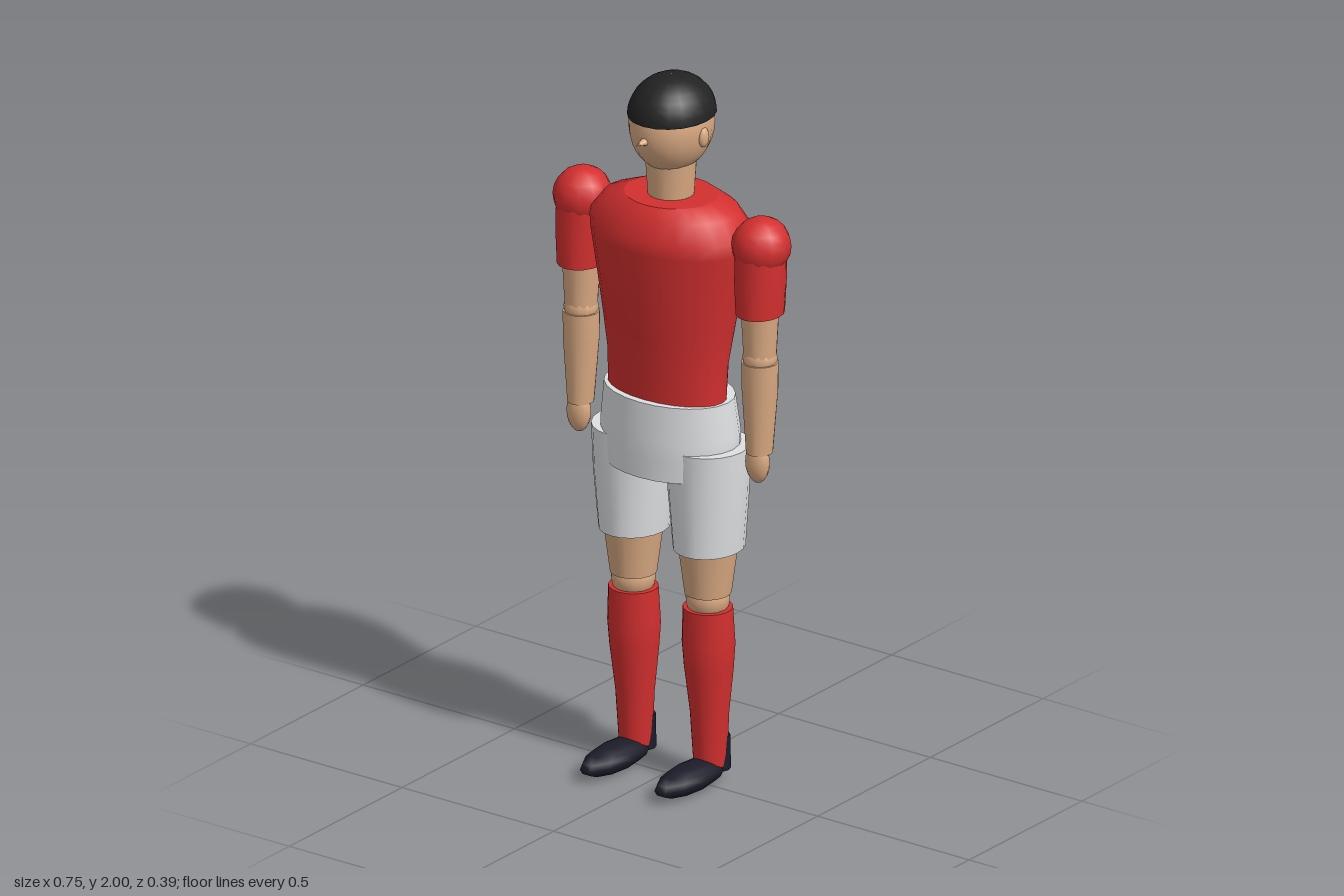
import * as THREE from 'three';

const mat = (name, color) => {
  const m = new THREE.MeshStandardMaterial({ color });
  m.name = name;
  return m;
};

// Elliptical loft; rings run from top to bottom as [y, radiusX, radiusZ, centreZ]
function loft(rings, sides) {
  const g = new THREE.CylinderGeometry(1, 1, 1, sides, rings.length - 1);
  const p = g.attributes.position;
  for (let i = 0; i < p.count; i++) {
    const [y, rx, rz, cz] = rings[Math.round((0.5 - p.getY(i)) * (rings.length - 1))];
    p.setXYZ(i, p.getX(i) * rx, y, p.getZ(i) * rz + cz);
  }
  g.computeVertexNormals();
  // Blend the normals across the seam
  const n = g.attributes.normal, a = new THREE.Vector3(), b = new THREE.Vector3();
  for (let r = 0; r < rings.length; r++) {
    const s = r * (sides + 1), e = s + sides;
    a.fromBufferAttribute(n, s).add(b.fromBufferAttribute(n, e)).normalize();
    n.setXYZ(s, a.x, a.y, a.z);
    n.setXYZ(e, a.x, a.y, a.z);
  }
  return g;
}

function ellipsoid(rx, ry, rz, sides = 16, rows = 12) {
  return new THREE.SphereGeometry(1, sides, rows).scale(rx, ry, rz);
}

export function createModel() {
  const root = new THREE.Group();
  root.name = 'footballPlayer';
  const skin = mat('skin', 0xd9a982);
  const red = mat('redKit', 0xd32f2f);
  const white = mat('whiteShorts', 0xdee0e2);
  const black = mat('blackHair', 0x222222);
  const dark = mat('darkBoots', 0x1c1c2a);

  const add = (parent, name, geo, material, x = 0, y = 0, z = 0) => {
    const m = new THREE.Mesh(geo, material);
    m.name = name;
    m.position.set(x, y, z);
    parent.add(m);
    return m;
  };

  // Head, hair, nose and neck
  add(root, 'head', ellipsoid(0.11, 0.136, 0.125, 20, 16), skin, 0, 1.864, -0.025);
  add(root, 'hair', new THREE.SphereGeometry(1, 20, 8, 0, Math.PI * 2, 0, Math.PI / 2)
    .scale(0.114, 0.11, 0.129), black, 0, 1.89, -0.026);
  add(root, 'hairUnderside', new THREE.CircleGeometry(1, 20).rotateX(Math.PI / 2)
    .scale(0.114, 1, 0.129), black, 0, 1.89, -0.026);
  add(root, 'nose', new THREE.ConeGeometry(0.015, 0.05, 8).rotateX(Math.PI / 2), skin, 0, 1.845, 0.11);
  add(root, 'neck', loft([[1.77, 0.07, 0.07, -0.022], [1.62, 0.06, 0.06, -0.022]], 16), skin);

  // Shirt body and hips
  add(root, 'shirt', loft([
    [1.662, 0.13, 0.115, -0.022], [1.635, 0.2, 0.142, -0.023], [1.58, 0.242, 0.168, -0.025],
    [1.54, 0.238, 0.168, -0.025], [1.4, 0.212, 0.147, -0.018], [1.3, 0.196, 0.131, -0.014],
    [1.2, 0.182, 0.114, -0.009], [1.08, 0.181, 0.102, -0.004],
  ], 24), red);
  add(root, 'shortsHips', loft([
    [1.105, 0.193, 0.136, -0.016], [1.0, 0.205, 0.147, -0.021],
    [0.95, 0.205, 0.146, -0.021], [0.89, 0.195, 0.142, -0.018],
  ], 24), white);

  for (const s of [1, -1]) {
    const side = s > 0 ? 'left' : 'right';
    add(root, side + 'Ear', ellipsoid(0.012, 0.028, 0.019, 10, 8), skin, s * 0.108, 1.845, -0.022);

    // Arm
    const arm = new THREE.Group();
    arm.name = side + 'Arm';
    arm.position.x = s * 0.295;
    root.add(arm);
    add(arm, 'shoulder', ellipsoid(0.08, 0.08, 0.082, 12, 10), red, 0, 1.58, -0.026);
    add(arm, 'sleeve', loft([
      [1.56, 0.067, 0.074, -0.023], [1.48, 0.067, 0.075, -0.022], [1.39, 0.062, 0.072, -0.021],
    ], 16), red);
    add(arm, 'upperArm', loft([[1.42, 0.052, 0.054, -0.02], [1.265, 0.044, 0.045, -0.02]], 16), skin);
    add(arm, 'elbow', ellipsoid(0.047, 0.047, 0.049, 12, 8), skin, 0, 1.26, -0.02);
    add(arm, 'forearm', loft([
      [1.25, 0.05, 0.05, -0.02], [1.17, 0.049, 0.049, -0.02], [0.99, 0.035, 0.038, -0.018],
    ], 16), skin);
    add(arm, 'hand', ellipsoid(0.036, 0.058, 0.026, 12, 10), skin, 0, 0.963, -0.009);

    // Leg
    const leg = new THREE.Group();
    leg.name = side + 'Leg';
    leg.position.x = s * 0.123;
    root.add(leg);
    add(leg, 'shortsLeg', loft([
      [0.972, 0.112, 0.115, -0.021], [0.84, 0.107, 0.112, -0.023], [0.675, 0.092, 0.105, -0.026],
    ], 20), white);
    add(leg, 'thigh', loft([[0.72, 0.085, 0.088, -0.02], [0.545, 0.063, 0.064, -0.02]], 18), skin);
    add(leg, 'knee', ellipsoid(0.06, 0.062, 0.061, 14, 10), skin, 0, 0.53, -0.02);
    add(leg, 'sock', loft([
      [0.503, 0.068, 0.066, -0.02], [0.4, 0.072, 0.071, -0.023],
      [0.33, 0.067, 0.066, -0.024], [0.2, 0.053, 0.052, -0.027], [0.05, 0.045, 0.045, -0.03],
    ], 18), red);

    // Boot
    add(leg, 'boot', ellipsoid(0.055, 0.038, 0.145, 10, 8), dark, 0, 0.038, 0.057);
    add(leg, 'bootHeel', loft([[0.13, 0.047, 0.039, -0.045], [0.035, 0.05, 0.039, -0.045]], 12), dark);
  }
  return root;
}
